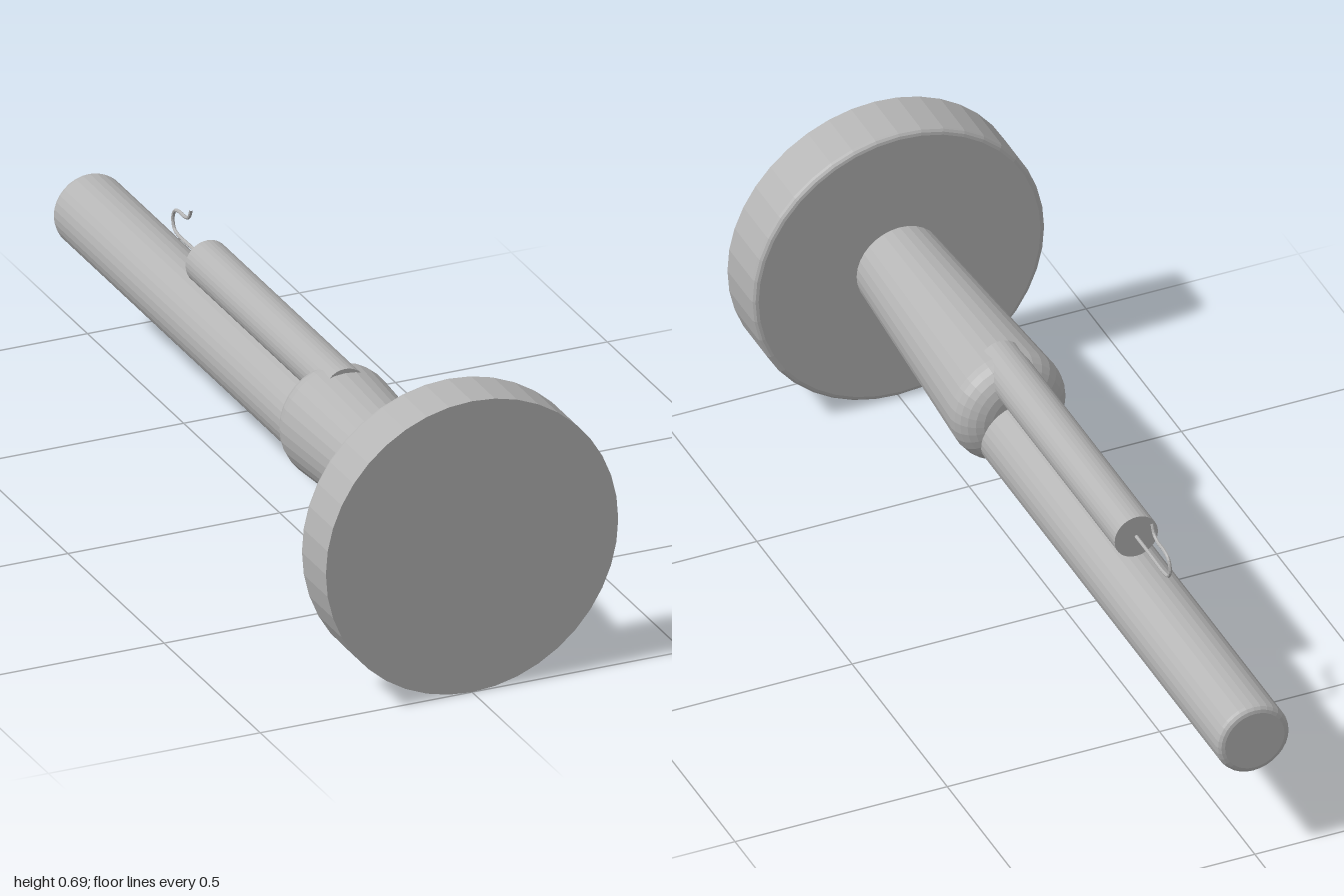
import * as THREE from 'three';

export function createModel() {
  const group = new THREE.Group();
  const grey = new THREE.MeshStandardMaterial({ color: 0xb4b4b4, flatShading: true });
  grey.name = 'plain grey';

  const add = (name, geometry, y = 0) => {
    const mesh = new THREE.Mesh(geometry, grey);
    mesh.name = name;
    mesh.position.y = y;
    group.add(mesh);
  };

  // Solid turned around the z axis from [radius, z] points, back to front
  const turned = (profile, sides) =>
    new THREE.LatheGeometry(profile.map(([r, z]) => new THREE.Vector2(r, z)), sides).rotateX(Math.PI / 2);

  // Quarter-round edge at the back end of a turned part
  const roundedBack = (radius, z, dr, dz, steps) =>
    Array.from({ length: steps + 1 }, (_, i) => {
      const a = (i / steps) * Math.PI / 2;
      return [radius - dr + dr * Math.sin(a), z + dz - dz * Math.cos(a)];
    });

  // Round base with a softened back rim
  add('baseDisc', turned([[0, 0.865], ...roundedBack(0.345, 0.865, 0.013, 0.013, 3), [0.345, 1], [0, 1]], 40), 0.346);

  // Tapered socket with a domed shoulder
  add('socket', turned([[0, 0.238], ...roundedBack(0.133, 0.238, 0.07, 0.065, 6), [0.101, 0.87], [0, 0.87]], 32), 0.346);

  // Long lower rod with a softened end
  add('mainRod', turned([[0, -1], ...roundedBack(0.085, -1, 0.015, 0.015, 3), [0.085, 0.4], [0, 0.4]], 32), 0.3);

  // Short upper tube
  add('upperTube', turned([[0, -0.378], [0.051, -0.378], [0.051, 0.34], [0, 0.34]], 32), 0.436);

  // Thin wire bent back into a hook
  const hook = new THREE.CatmullRomCurve3([
    [0.436, -0.36], [0.436, -0.45], [0.436, -0.53], [0.442, -0.548], [0.463, -0.556],
    [0.485, -0.547], [0.493, -0.525], [0.494, -0.49], [0.502, -0.472], [0.524, -0.461],
  ].map(([y, z]) => new THREE.Vector3(0, y, z)));
  add('wireHook', new THREE.TubeGeometry(hook, 48, 0.004, 8));

  return group;
}
